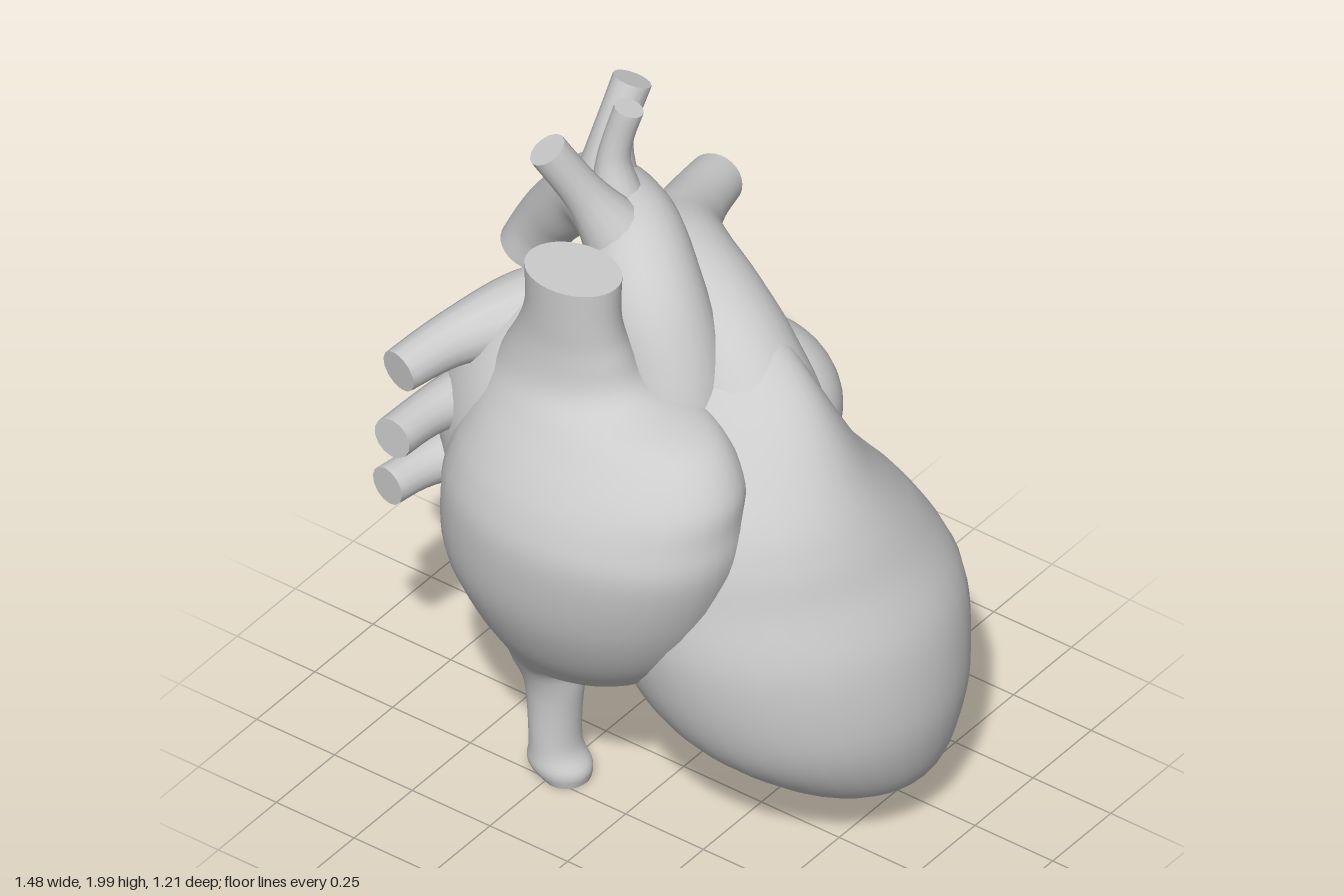
import * as THREE from 'three';
import { toCreasedNormals } from 'three/addons/utils/BufferGeometryUtils.js';

const SIDES = 36;
const material = new THREE.MeshStandardMaterial({ color: 0xcccccc });

// Catmull-Rom interpolation of rows of numbers
function smooth(rows, steps) {
  const out = [];
  const at = i => rows[Math.min(Math.max(i, 0), rows.length - 1)];
  for (let i = 0; i < rows.length - 1; i++) {
    for (let s = 0; s < steps; s++) {
      const t = s / steps;
      out.push(rows[i].map((b, k) => {
        const a = at(i - 1)[k], c = at(i + 1)[k], d = at(i + 2)[k];
        return b + 0.5 * t * (c - a + t * (2 * a - 5 * b + 4 * c - d + t * (3 * (b - c) + d - a)));
      }));
    }
  }
  out.push(rows[rows.length - 1]);
  return out;
}

// Skin over a list of rings, closed at both ends
function skin(rings) {
  const pos = [], index = [], n = rings[0].length;
  rings.forEach(r => r.forEach(p => pos.push(p.x, p.y, p.z)));
  for (let i = 0; i < rings.length - 1; i++) {
    for (let j = 0; j < n; j++) {
      const a = i * n + j, b = i * n + (j + 1) % n;
      index.push(a, b, b + n, a, b + n, a + n);
    }
  }
  [0, rings.length - 1].forEach((ri, end) => {
    const c = new THREE.Vector3();
    rings[ri].forEach(p => c.addScaledVector(p, 1 / n));
    const ci = pos.length / 3;
    pos.push(c.x, c.y, c.z);
    for (let j = 0; j < n; j++) {
      const a = ri * n + j, b = ri * n + (j + 1) % n;
      if (end) index.push(ci, a, b); else index.push(ci, b, a);
    }
  });
  const g = new THREE.BufferGeometry();
  g.setAttribute('position', new THREE.Float32BufferAttribute(pos, 3));
  g.setIndex(index);
  return toCreasedNormals(g, Math.PI / 3.2);
}

// Chamber from level ovals, bottom to top: [y, xMin, xMax, zMin, zMax]; skew slants the ovals
function chamber(rows, skew = 0) {
  return skin(smooth(rows, 5).map(([y, x0, x1, z0, z1]) =>
    Array.from({ length: SIDES }, (_, j) => {
      const a = j / SIDES * Math.PI * 2;
      const dx = (x1 - x0) / 2 * Math.cos(a);
      return new THREE.Vector3((x0 + x1) / 2 + dx, y,
        (z0 + z1) / 2 - (z1 - z0) / 2 * Math.sin(a) - skew * dx);
    })));
}

// Vessel of changing radius along a path: [x, y, z, radius]
function vessel(rows, sides = 20) {
  const pts = smooth(rows, 7);
  const c = pts.map(p => new THREE.Vector3(p[0], p[1], p[2]));
  const u = new THREE.Vector3(0.31, 0.2, 0.93);
  return skin(c.map((p, i) => {
    const t = c[Math.min(i + 1, c.length - 1)].clone().sub(c[Math.max(i - 1, 0)]).normalize();
    u.addScaledVector(t, -u.dot(t)).normalize();
    const v = t.clone().cross(u);
    return Array.from({ length: sides }, (_, j) => {
      const a = j / sides * Math.PI * 2;
      return p.clone().addScaledVector(u, pts[i][3] * Math.cos(a)).addScaledVector(v, pts[i][3] * Math.sin(a));
    });
  }));
}

export function createModel() {
  const model = new THREE.Group();
  model.name = 'heart';
  const add = (name, geometry) => {
    const mesh = new THREE.Mesh(geometry, material);
    mesh.name = name;
    model.add(mesh);
    return mesh;
  };
  const ovoid = (name, x, y, z, rx, ry, rz) => {
    const mesh = add(name, new THREE.SphereGeometry(1, 40, 28));
    mesh.position.set(x, y, z);
    mesh.scale.set(rx, ry, rz);
  };

  // Large ventricle, leaning to the apex at lower left
  add('ventricle', chamber([
    [0.13, 0.45, 0.51, -0.17, -0.11],
    [0.155, 0.34, 0.61, -0.27, -0.01],
    [0.22, 0.2, 0.68, -0.37, 0.13],
    [0.35, 0.0, 0.725, -0.46, 0.28],
    [0.5, -0.12, 0.74, -0.51, 0.36],
    [0.7, -0.2, 0.715, -0.53, 0.4],
    [0.88, -0.25, 0.64, -0.455, 0.39],
    [1.0, -0.25, 0.59, -0.365, 0.37],
    [1.12, -0.25, 0.525, -0.28, 0.32],
    [1.3, -0.2, 0.4, -0.2, 0.17],
    [1.42, -0.15, 0.25, -0.18, 0.05],
    [1.5, -0.1, 0.09, -0.16, -0.04],
    [1.52, -0.03, 0.02, -0.13, -0.08],
  ], 0.08));

  // Front chamber running into the lower and upper great veins
  add('frontChamberAndGreatVeins', chamber([
    [0.01, -0.28, -0.16, 0.14, 0.27],
    [0.05, -0.33, -0.155, 0.13, 0.285],
    [0.12, -0.325, -0.19, 0.135, 0.28],
    [0.3, -0.34, -0.18, 0.13, 0.285],
    [0.41, -0.37, -0.15, 0.1, 0.33],
    [0.48, -0.39, 0.06, 0.08, 0.39],
    [0.62, -0.44, 0.21, 0.05, 0.49],
    [0.8, -0.5, 0.31, 0.03, 0.57],
    [1.0, -0.5, 0.375, 0.02, 0.6],
    [1.12, -0.48, 0.375, 0.02, 0.575],
    [1.22, -0.45, 0.36, 0.03, 0.52],
    [1.32, -0.42, 0.27, 0.06, 0.44],
    [1.39, -0.39, 0.06, 0.09, 0.385],
    [1.5, -0.33, 0.0, 0.14, 0.365],
    [1.6, -0.295, -0.02, 0.165, 0.365],
    [1.72, -0.295, -0.02, 0.16, 0.37],
  ]));

  // Rear chamber and its side lobe
  ovoid('rearChamber', -0.265, 1.07, 0.06, 0.39, 0.44, 0.38);
  ovoid('rearLobe', 0.08, 1.15, -0.19, 0.25, 0.22, 0.2);

  // Artery arching backwards from the top of the ventricle
  add('lungArtery', vessel([
    [0.28, 1.0, 0.02, 0.17], [0.21, 1.17, -0.04, 0.19], [0.1, 1.31, -0.08, 0.18],
    [-0.02, 1.4, -0.13, 0.165], [-0.15, 1.445, -0.21, 0.14], [-0.25, 1.44, -0.33, 0.105],
    [-0.3, 1.425, -0.45, 0.085], [-0.335, 1.405, -0.585, 0.075],
  ], 28));

  // Main artery: rising, arching and descending at the rear
  add('mainArtery', vessel([
    [0.06, 1.1, 0.12, 0.15], [0.01, 1.35, 0.08, 0.15], [-0.09, 1.54, 0.04, 0.15],
    [-0.22, 1.63, -0.06, 0.13], [-0.4, 1.6, -0.16, 0.105],
    [-0.54, 1.46, -0.21, 0.09], [-0.62, 1.35, -0.23, 0.083], [-0.665, 1.26, -0.23, 0.083],
  ], 28));

  // Three branches on top of the arch
  [
    [[-0.18, 1.62, 0.0, 0.11], [-0.26, 1.79, 0.07, 0.06], [-0.335, 1.95, 0.14, 0.053]],
    [[-0.24, 1.66, -0.05, 0.09], [-0.27, 1.83, -0.06, 0.045], [-0.24, 1.99, -0.085, 0.04]],
    [[-0.34, 1.62, -0.12, 0.11], [-0.345, 1.8, -0.15, 0.058], [-0.33, 1.96, -0.22, 0.053]],
  ].forEach((rows, i) => add(`archBranch${i + 1}`, vessel(rows, 14)));

  // Three veins towards the front right
  [
    [[-0.28, 1.38, -0.02, 0.14], [-0.41, 1.38, 0.13, 0.115], [-0.51, 1.36, 0.31, 0.075], [-0.555, 1.34, 0.485, 0.06]],
    [[-0.44, 1.14, 0.1, 0.13], [-0.52, 1.16, 0.34, 0.068], [-0.535, 1.165, 0.54, 0.058]],
    [[-0.45, 0.98, 0.1, 0.13], [-0.545, 0.97, 0.34, 0.065], [-0.58, 0.965, 0.5, 0.055]],
  ].forEach((rows, i) => add(`frontVein${i + 1}`, vessel(rows, 14)));

  // Two veins towards the rear
  [
    [[-0.25, 1.12, -0.22, 0.13], [-0.33, 1.17, -0.4, 0.06], [-0.38, 1.235, -0.58, 0.046]],
    [[-0.25, 1.08, -0.22, 0.14], [-0.33, 1.05, -0.39, 0.075], [-0.38, 1.005, -0.55, 0.058]],
  ].forEach((rows, i) => add(`rearVein${i + 1}`, vessel(rows, 14)));

  return model;
}
